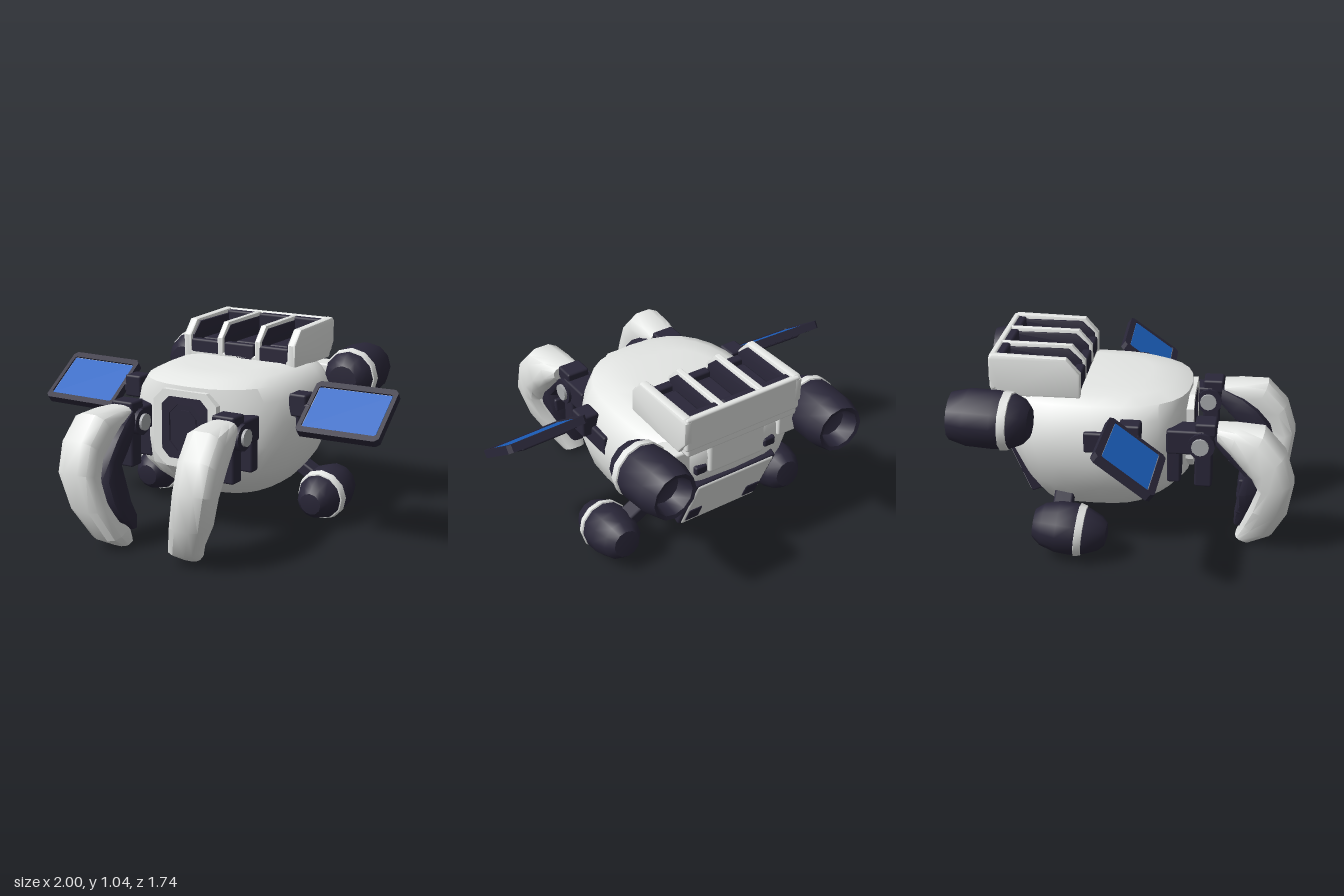
import * as THREE from 'three';
import { toCreasedNormals } from 'three/addons/utils/BufferGeometryUtils.js';
import { RoundedBoxGeometry } from 'three/addons/geometries/RoundedBoxGeometry.js';

const material = (name, color) => {
  const m = new THREE.MeshStandardMaterial({ color });
  m.name = name;
  return m;
};

// Skin a list of equal-length rings, cap both ends, and face it outward.
function loft(rings, crease) {
  const n = rings[0].length, pts = rings.flat(), tris = [];
  for (let r = 0; r < rings.length - 1; r++)
    for (let i = 0; i < n; i++) {
      const j = (i + 1) % n, a = r * n + i, b = r * n + j;
      tris.push([a, b, a + n], [b, b + n, a + n]);
    }
  const last = (rings.length - 1) * n;
  for (let i = 1; i < n - 1; i++) tris.push([0, i + 1, i], [last, last + i, last + i + 1]);
  let volume = 0;
  for (const [a, b, c] of tris) volume += pts[a].dot(pts[b].clone().cross(pts[c]));
  const g = new THREE.BufferGeometry().setFromPoints(pts);
  g.setIndex(tris.flatMap(([a, b, c]) => (volume > 0 ? [a, b, c] : [a, c, b])));
  return toCreasedNormals(g, crease);
}

// Point on a rounded square at angle t.
const squircle = (t, e) => {
  const c = Math.cos(t), s = Math.sin(t);
  return [Math.sign(c) * Math.abs(c) ** (2 / e), Math.sign(s) * Math.abs(s) ** (2 / e)];
};

function chamferRect(Kind, w, h, c) {
  const x = w / 2, y = h / 2;
  return new Kind([[x, c - y], [x, y - c], [x - c, y], [c - x, y], [-x, y - c], [-x, c - y], [c - x, -y], [x - c, -y]]
    .map(([a, b]) => new THREE.Vector2(a, b)));
}

// Chamfered rectangular ring, extruded along z.
function frame(w, h, c, w2, h2, c2, depth) {
  const s = chamferRect(THREE.Shape, w, h, c);
  s.holes.push(chamferRect(THREE.Path, w2, h2, c2));
  return new THREE.ExtrudeGeometry(s, { depth, bevelEnabled: false });
}

export function createModel() {
  const hull = material('hull white', 0xe8eae8);
  const dark = material('dark navy', 0x2a2739);
  const blue = material('solar blue', 0x1c62c2);
  const grey = material('joint grey', 0xa9abae);
  const model = new THREE.Group();

  const add = (parent, name, geometry, mat, pos = [0, 0, 0], rot = [0, 0, 0]) => {
    const m = new THREE.Mesh(geometry, mat);
    m.name = name;
    m.position.set(...pos);
    m.rotation.set(...rot);
    parent.add(m);
  };
  const group = (name, pos = [0, 0, 0], rot = [0, 0, 0]) => {
    const g = new THREE.Group();
    g.name = name;
    g.position.set(...pos);
    g.rotation.set(...rot, 'YXZ');
    model.add(g);
    return g;
  };
  const box = (w, h, d, r = 0.012) => new RoundedBoxGeometry(w, h, d, 1, r);

  // Body: horizontal rings of [height, half width, front z, back z], squarer at the back
  const bodyRings = [
    [0.19, 0.26, 0.11, -0.44], [0.21, 0.3, 0.15, -0.47], [0.28, 0.375, 0.24, -0.51], [0.36, 0.43, 0.315, -0.56],
    [0.5, 0.48, 0.32, -0.62], [0.62, 0.485, 0.32, -0.66], [0.73, 0.455, 0.32, -0.66], [0.8, 0.405, 0.315, -0.65],
    [0.835, 0.34, 0.23, -0.62], [0.85, 0.25, 0.1, -0.56],
  ].map(([y, hw, zf, zb]) => Array.from({ length: 28 }, (_, i) => {
    const [c, s] = squircle((i / 28) * Math.PI * 2, i < 14 ? 2.6 : 3.3);
    return new THREE.Vector3(hw * c, y, (zf + zb) / 2 + ((zf - zb) / 2) * s);
  }));
  add(model, 'body', loft(bodyRings, 0.7), hull);

  // Front port: white frame, dark rim, recessed dark lens
  const port = group('frontPort', [0, 0.58, 0.265]);
  add(port, 'portFrame', frame(0.38, 0.4, 0.06, 0.28, 0.33, 0.045, 0.071), hull);
  add(port, 'portRim', frame(0.28, 0.33, 0.045, 0.19, 0.25, 0.05, 0.07), dark);
  add(port, 'portBack', box(0.27, 0.32, 0.02), dark, [0, 0, 0.05]);
  add(port, 'portLens', new THREE.ExtrudeGeometry(chamferRect(THREE.Shape, 0.13, 0.19, 0.04),
    { depth: 0.008, bevelEnabled: false }), dark, [0, 0, 0.058]);

  // Roof rack: open dark bays between white walls and ribs
  const rack = group('roofRack', [-0.012, 0, 0]);
  const slab = (name, x, width, mat, inset, top) => {
    const pts = [[-0.23, 0.82], [-0.23, 0.95], [-0.3, 1.03], [-0.68, 1.04], [-0.7, 1.02], [-0.7, 0.9], [-0.64, 0.82]]
      .map(([z, y]) => new THREE.Vector2(-z - inset * Math.sign(-z - 0.45), Math.min(y, top)));
    const b = Math.min(0.015, width / 4);
    const g = new THREE.ExtrudeGeometry(new THREE.Shape(pts), { depth: width - 2 * b, bevelThickness: b,
      bevelSize: b, bevelOffset: -b, bevelSegments: 2 });
    add(rack, name, toCreasedNormals(g.translate(0, 0, b - width / 2).rotateY(Math.PI / 2), 0.7), mat, [x, 0, 0]);
  };
  for (const s of [-1, 1]) {
    slab('rackWall', s * 0.326, 0.05, hull, 0, 1.04);
    slab('rackWallLiner', s * 0.301, 0.02, dark, 0.018, 1.015);
    slab('rackRib', s * 0.118, 0.036, hull, 0.003, 1.035);
    slab('rackRibLiner', s * 0.118, 0.046, dark, 0.018, 1.015);
  }
  for (const x of [-0.212, 0, 0.212]) {
    add(rack, 'rackFloor', box(0.19, 0.06, 0.43), dark, [x, 0.865, -0.45]);
    add(rack, 'rackLip', box(0.19, 0.08, 0.05), dark, [x, 0.89, -0.26]);
    add(rack, 'rackBackLiner', box(0.19, 0.18, 0.05), dark, [x, 0.94, -0.65]);
    add(rack, 'rackPad', box(0.14, 0.05, 0.28), dark, [x, 0.9, -0.46]);
  }
  add(rack, 'rackBackWall', box(0.68, 0.19, 0.035), hull, [0, 0.942, -0.682]);
  add(rack, 'rackBase', box(0.66, 0.06, 0.46), hull, [0, 0.84, -0.465]);

  // Rear panels: white covers over a dark core on the sloping back
  add(model, 'rearPanel', box(0.34, 0.2, 0.05, 0.02), hull, [0, 0.73, -0.645]);
  const slope = group('rearSlope', [0, 0.42, -0.555], [-0.42, 0, 0]);
  add(slope, 'slopeCore', box(0.5, 0.38, 0.08), dark);
  add(slope, 'slopeCover', box(0.47, 0.37, 0.03), hull, [0, 0, -0.032]);
  for (const s of [-1, 1]) {
    add(slope, 'slopeSlot', box(0.08, 0.1, 0.02, 0.006), dark, [s * 0.18, -0.1, -0.043]);
    add(model, 'rearSlot', box(0.07, 0.05, 0.04), dark, [s * 0.21, 0.67, -0.645]);
  }

  // Spin a [radius, z] profile around the z axis
  const spin = (profile) => toCreasedNormals(
    new THREE.LatheGeometry(profile.map(([r, z]) => new THREE.Vector2(r, z)), 12).rotateX(Math.PI / 2), 0.6);

  for (const s of [-1, 1]) {
    // Upper thruster with hollow nozzle
    const upper = group('upperThruster', [s * 0.505, 0.75, s > 0 ? -0.64 : -0.655], [0.03, s * 0.06, 0]);
    add(upper, 'thrusterBody', spin([[0, -0.1], [0.085, -0.12], [0.105, -0.205], [0.125, -0.21], [0.148, -0.12],
      [0.15, 0.02], [0.14, 0.11], [0.115, 0.165], [0.08, 0.195], [0, 0.2]]), dark);
    add(upper, 'thrusterBand', spin([[0.14, 0.055], [0.154, 0.06], [0.148, 0.1], [0.13, 0.105]]), hull);
    add(model, 'upperThrusterMount', box(0.16, 0.14, 0.14), hull, [s * 0.35, 0.74, -0.58]);
    add(model, 'upperThrusterArm', box(0.12, 0.07, 0.08), dark, [s * 0.41, 0.74, -0.58]);

    // Lower pod thruster
    const lower = group('lowerThruster', [s * 0.52, 0.165, -0.27], [0.12, 0, 0]);
    add(lower, 'podBody', spin([[0, -0.19], [0.075, -0.185], [0.11, -0.14], [0.133, -0.06], [0.135, 0.02],
      [0.12, 0.09], [0.09, 0.16], [0.06, 0.19], [0, 0.2]]), dark);
    add(lower, 'podBand', spin([[0.125, 0.035], [0.139, 0.04], [0.13, 0.075], [0.11, 0.08]]), hull);
    add(model, 'podArm', box(0.2, 0.07, 0.1), dark, [s * 0.4, 0.25, -0.32], [0, 0, -s * 0.5]);

    // Tilted solar panel: raised rim around thin-edged blue cells, on a side hinge
    const z = s > 0 ? 0.005 : 0.07;
    const panel = group('solarPanel', [s * 0.768, 0.693, z], [0.63, s * 0.03, 0]);
    add(panel, 'panelFrame', frame(0.455, 0.345, 0.02, 0.41, 0.275, 0.01, 0.042), dark, [0, -0.021, 0], [-Math.PI / 2, 0, 0]);
    add(panel, 'panelBack', box(0.43, 0.03, 0.31), dark, [0, -0.008, 0]);
    add(panel, 'panelEdge', new THREE.BoxGeometry(0.41, 0.006, 0.275), grey, [0, 0.01, 0]);
    add(panel, 'panelCells', new THREE.BoxGeometry(0.402, 0.006, 0.267), blue, [0, 0.013, 0]);
    add(panel, 'panelBackPad', box(0.26, 0.02, 0.2), dark, [0, -0.026, 0]);
    add(model, 'panelHinge', box(0.1, 0.12, 0.11), dark, [s * 0.49, 0.7, z - 0.03]);
    add(model, 'panelAxle', box(0.07, 0.05, 0.05), dark, [s * 0.53, 0.69, z]);
    add(model, 'sideSocket', box(0.06, 0.11, 0.2), dark, [s * 0.459, 0.635, -0.1]);

    // Shoulder joint
    const shoulder = group('shoulder', [s * 0.305, 0, 0]);
    add(shoulder, 'shoulderBracket', box(0.13, 0.23, 0.07), dark, [0, 0.5, 0.25]);
    add(shoulder, 'shoulderLink', box(0.14, 0.13, 0.2), dark, [0, 0.61, 0.31]);
    add(shoulder, 'shoulderCap', box(0.13, 0.07, 0.11), dark, [0, 0.68, 0.41]);
    add(shoulder, 'shoulderHub', new THREE.CylinderGeometry(0.07, 0.07, 0.17, 12), dark, [0, 0.6, 0.39], [0, 0, Math.PI / 2]);
    add(shoulder, 'shoulderPin', new THREE.CylinderGeometry(0.045, 0.045, 0.2, 12), grey, [0, 0.6, 0.385], [0, 0, Math.PI / 2]);
    add(shoulder, 'shoulderRod', box(0.1, 0.2, 0.09), dark, [0, 0.46, 0.4]);

    // Claw: sections of [outer z, outer y, inner z, inner y, centre x, half width]
    const claw = (sections, e) => loft(sections.map(([oz, oy, iz, iy, x, hw]) =>
      Array.from({ length: 12 }, (_, i) => {
        const [c, q] = squircle(((i + 0.5) / 12) * Math.PI * 2, e);
        const k = (q + 1) / 2;
        return new THREE.Vector3(s * (x + hw * c), iy + (oy - iy) * k, iz + (oz - iz) * k);
      })), 0.7);
    add(model, 'clawShell', claw([
      [0.47, 0.7, 0.47, 0.62, 0.315, 0.08], [0.57, 0.705, 0.53, 0.56, 0.325, 0.1], [0.71, 0.7, 0.6, 0.48, 0.335, 0.112],
      [0.82, 0.58, 0.65, 0.43, 0.345, 0.112], [0.87, 0.42, 0.68, 0.37, 0.34, 0.11], [0.84, 0.22, 0.64, 0.24, 0.295, 0.105],
      [0.765, 0.06, 0.6, 0.12, 0.23, 0.09], [0.65, 0, 0.57, 0.03, 0.215, 0.06]], 2.8), hull);
    add(model, 'clawInner', claw([
      [0.46, 0.68, 0.45, 0.58, 0.28, 0.055], [0.58, 0.63, 0.5, 0.53, 0.28, 0.085], [0.66, 0.57, 0.55, 0.48, 0.275, 0.09],
      [0.73, 0.48, 0.605, 0.42, 0.275, 0.09], [0.76, 0.37, 0.57, 0.31, 0.27, 0.095], [0.75, 0.26, 0.575, 0.23, 0.235, 0.085],
      [0.7, 0.15, 0.56, 0.16, 0.205, 0.075], [0.62, 0.09, 0.56, 0.09, 0.19, 0.05]], 3.5), dark);
    for (const [y, z, x] of [[0.5, 0.57, 0.28], [0.36, 0.61, 0.28], [0.22, 0.6, 0.235]])
      add(model, 'clawPad', box(0.11, 0.08, 0.06), dark, [s * x, y, z], [y > 0.4 ? -0.8 : 0.1, 0, 0]);
  }
  return model;
}
